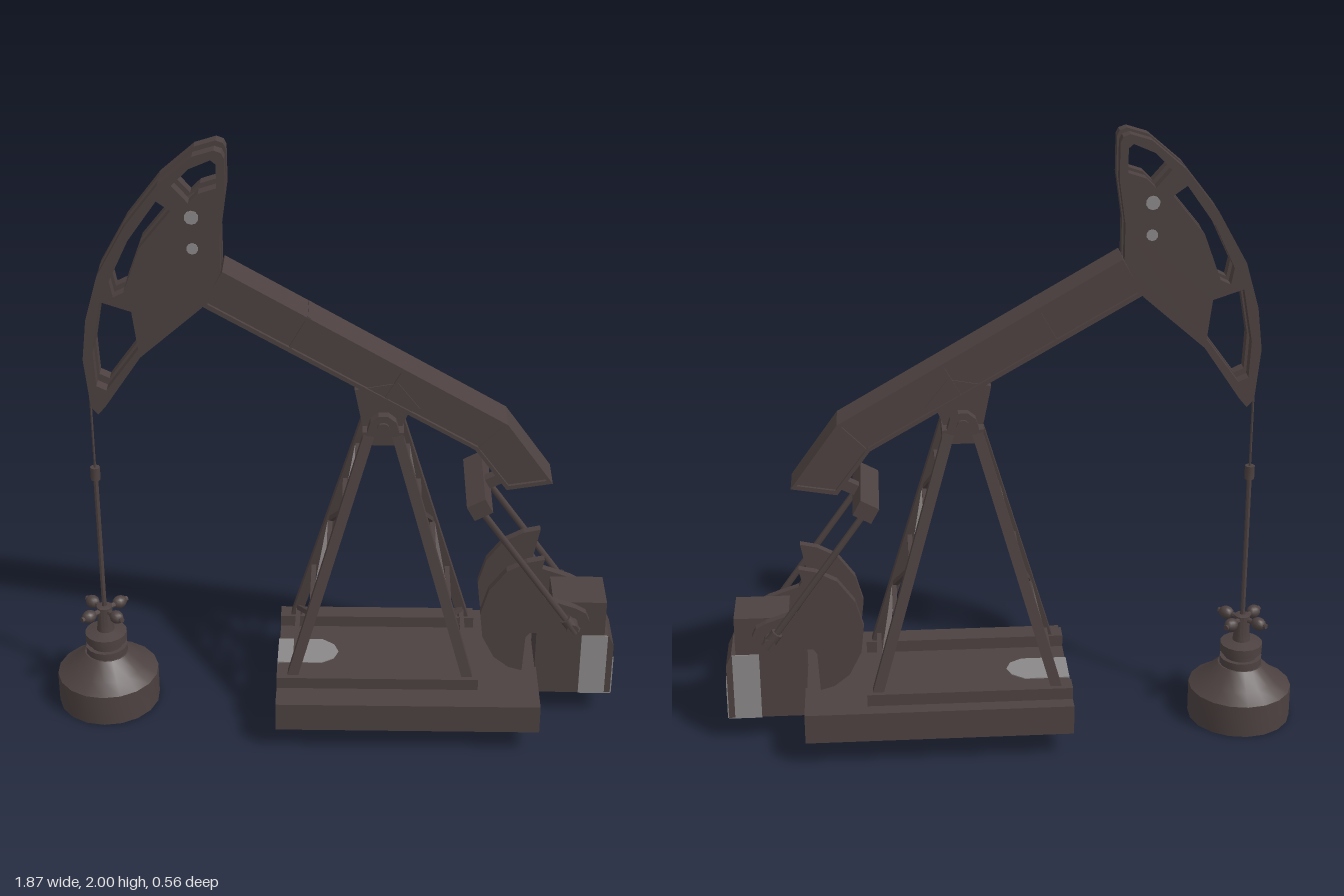
import * as THREE from 'three';
import { toCreasedNormals } from 'three/addons/utils/BufferGeometryUtils.js';

const iron = new THREE.MeshStandardMaterial({ color: 0x4c4140, side: THREE.DoubleSide });
iron.name = 'dark iron';
const grey = new THREE.MeshStandardMaterial({ color: 0x8a8888, side: THREE.DoubleSide });
grey.name = 'worn grey';

const V = (x, y, z) => new THREE.Vector3(x, y, z);
const poly = (pts) => pts.map(([x, y]) => new THREE.Vector2(x, y));

function add(parent, name, geometry, material = iron) {
  const mesh = new THREE.Mesh(geometry, material);
  mesh.name = name;
  parent.add(mesh);
  return mesh;
}

// Box from its minimum and maximum corners
function box(parent, name, a, b, material) {
  const mesh = add(parent, name, new THREE.BoxGeometry(b[0] - a[0], b[1] - a[1], b[2] - a[2]), material);
  mesh.position.set((a[0] + b[0]) / 2, (a[1] + b[1]) / 2, (a[2] + b[2]) / 2);
  return mesh;
}

// Side profile extruded from z0 to z1
function plate(parent, name, pts, z0, z1, holes = [], material) {
  const shape = new THREE.Shape(poly(pts));
  holes.forEach((h) => shape.holes.push(new THREE.Path(poly(h))));
  const geo = new THREE.ExtrudeGeometry(shape, { depth: z1 - z0, bevelEnabled: false });
  geo.translate(0, 0, z0);
  return add(parent, name, geo, material);
}

// Round rod, or square bar with sides = 4, between two points
function bar(parent, name, a, b, r, sides = 10) {
  const geo = new THREE.CylinderGeometry(r, r, a.distanceTo(b), sides);
  if (sides === 4) geo.rotateY(Math.PI / 4);
  const mesh = add(parent, name, toCreasedNormals(geo, 0.8));
  mesh.position.copy(a).add(b).multiplyScalar(0.5);
  mesh.quaternion.setFromUnitVectors(V(0, 1, 0), b.clone().sub(a).normalize());
  return mesh;
}

function lathe(parent, name, pts, sides) {
  return add(parent, name, toCreasedNormals(new THREE.LatheGeometry(poly(pts), sides), 0.6));
}

function buildBase(root) {
  // Hollow skid, open below
  box(root, 'baseDeck', [-0.185, 0.165, -0.28], [0.675, 0.19, 0.28]);
  for (const s of [-1, 1]) {
    box(root, 'baseSideWall', [-0.185, 0.09, s * 0.265 - 0.015], [0.675, 0.165, s * 0.265 + 0.015]);
  }
  box(root, 'baseEndWall', [-0.185, 0.09, -0.25], [-0.155, 0.165, 0.25]);
  box(root, 'baseEndWall', [0.645, 0.09, -0.25], [0.675, 0.165, 0.25]);
  box(root, 'underRail', [-0.1, 0.145, -0.04], [0.6, 0.165, -0.01]);
  // Worn patch at the end of the skid
  const patch = [[-0.185, -0.09], [-0.04, -0.09], [0, -0.06], [0.015, -0.02], [0, 0.02], [-0.04, 0.045], [-0.185, 0.045]];
  for (const y of [0.193, 0.165]) {
    const m = plate(root, 'deckPatch', patch, 0, 0.004, [], grey);
    m.rotation.x = Math.PI / 2;
    m.position.y = y;
  }
  box(root, 'endPatch', [-0.188, 0.09, -0.09], [-0.184, 0.193, 0.045], grey);
}

function buildTower(body) {
  const foot = 0.18, head = 0.075, y0 = 0.2, y1 = 1.07;
  for (const [xa, xb] of [[-0.14, 0.11], [0.447, 0.2]]) {
    const at = (t, s) => V(xa + (xb - xa) * t, y0 + (y1 - y0) * t, s * (foot + (head - foot) * t));
    for (const s of [-1, 1]) bar(body, 'towerLeg', at(0, s), at(1, s), 0.024, 4);
    // Zigzag bracing between the two legs of each end
    const levels = [0.06, 0.28, 0.5, 0.7, 0.86];
    levels.forEach((t, i) => {
      bar(body, 'towerRung', at(t, -1), at(t, 1), 0.011, 4);
      if (i) {
        const s = i % 2 ? 1 : -1;
        bar(body, 'towerBrace', at(levels[i - 1], -s), at(t, s), 0.011, 4);
      }
    });
  }
  for (const s of [-1, 1]) {
    box(body, 'footRail', [-0.185, 0.19, s * 0.18 - 0.03], [0.475, 0.23, s * 0.18 + 0.03]);
    // Saddle bearings
    const cap = [[0.09, 1.085], [0.105, 1.085], [0.115, 1.12], [0.14, 1.14], [0.17, 1.14], [0.195, 1.12], [0.205, 1.085], [0.22, 1.085], [0.22, 1.04], [0.09, 1.04]];
    plate(body, 'saddleBearing', cap, s * 0.075 - 0.016, s * 0.075 + 0.016);
  }
  box(body, 'towerCap', [0.09, 1.04, -0.09], [0.22, 1.085, 0.09]);
  bar(body, 'saddleShaft', V(0.155, 1.1, -0.1), V(0.155, 1.1, 0.1), 0.02, 12);
  plate(body, 'saddleBlock', [[0.065, 1.215], [0.09, 1.09], [0.215, 1.09], [0.235, 1.14], [0.27, 1.15], [0.2, 1.24]], -0.056, 0.056);
}

function buildBeam(body) {
  const outer = [[-0.335, 1.615], [-0.4, 1.5], [0.445, 1.01], [0.55, 0.865], [0.695, 0.89], [0.545, 1.1]];
  const inner = [[-0.335, 1.598], [-0.383, 1.507], [0.452, 1.02], [0.555, 0.88], [0.675, 0.9], [0.538, 1.088]];
  plate(body, 'beamFlanges', outer, -0.0625, 0.0625, [inner]);
  plate(body, 'beamWeb', inner, -0.052, 0.052);
  for (const [x, y, len, a] of [[-0.105, 1.41, 0.125, -0.52], [0.19, 1.235, 0.125, -0.52], [0.495, 1.05, 0.11, -0.78]]) {
    const rib = add(body, 'beamRib', new THREE.BoxGeometry(0.01, len, 0.12));
    rib.position.set(x, y, 0);
    rib.rotation.z = a;
  }
}

function buildHead(body) {
  const outline = [[-0.35, 2], [-0.328, 1.992], [-0.32, 1.975], [-0.32, 1.86], [-0.34, 1.725], [-0.34, 1.61], [-0.4, 1.495], [-0.595, 1.325],
    [-0.71, 1.155], [-0.735, 1.125], [-0.757, 1.15], [-0.773, 1.315], [-0.757, 1.45], [-0.715, 1.595], [-0.625, 1.755], [-0.52, 1.89], [-0.415, 1.98]];
  const windows = [
    [[-0.36, 1.97], [-0.345, 1.957], [-0.345, 1.883], [-0.4, 1.865], [-0.43, 1.835], [-0.478, 1.89], [-0.425, 1.942]],
    [[-0.525, 1.84], [-0.483, 1.81], [-0.583, 1.687], [-0.636, 1.544], [-0.668, 1.528], [-0.678, 1.58], [-0.615, 1.713]],
    [[-0.71, 1.512], [-0.615, 1.48], [-0.6, 1.353], [-0.705, 1.21], [-0.736, 1.225], [-0.741, 1.342]],
  ];
  // Two cheek plates with a recessed web between them
  for (const s of [-1, 1]) {
    plate(body, 'headCheek', outline, s * 0.042 - 0.0205, s * 0.042 + 0.0205, windows);
    for (const [y, r] of [[1.79, 0.022], [1.69, 0.018]]) {
      const spot = add(body, 'headSpot', new THREE.CylinderGeometry(r, r, 0.004, 10), grey);
      spot.rotation.x = Math.PI / 2;
      spot.position.set(-0.422, y, s * 0.063);
    }
  }
  plate(body, 'headWeb', [[-0.37, 1.85], [-0.37, 1.61], [-0.41, 1.52], [-0.58, 1.37], [-0.6, 1.49], [-0.63, 1.56], [-0.575, 1.685], [-0.475, 1.8], [-0.42, 1.835]], -0.022, 0.022);
  box(body, 'cableAnchor', [-0.755, 1.14, -0.03], [-0.725, 1.18, 0.03]);
}

function buildDrive(body) {
  // Gear housing with the painted motor cover at its end
  plate(body, 'gearHousing', [[0.67, 0.09], [0.82, 0.09], [0.82, 0.32], [0.895, 0.32], [0.895, 0.45], [0.72, 0.45], [0.72, 0.36], [0.67, 0.33]], -0.078, 0.078);
  plate(body, 'motorCover', [[0.82, 0.09], [0.928, 0.09], [0.928, 0.28], [0.91, 0.32], [0.82, 0.32]], -0.078, 0.078);
  for (const s of [-1, 1]) {
    box(body, 'coverSidePanel', [0.82, 0.09, s * 0.079 - 0.002], [0.907, 0.32, s * 0.079 + 0.002], grey);
  }
  box(body, 'coverEndPanel', [0.927, 0.09, -0.078], [0.931, 0.23, 0.078], grey);
  box(body, 'coverBottomPanel', [0.82, 0.087, -0.078], [0.928, 0.091, 0.078], grey);

  // Fan-shaped counterweights on the cranks, with the connecting rods outside
  const fan = [[0.68, 0.632], [0.625, 0.62], [0.56, 0.585], [0.505, 0.51], [0.48, 0.42], [0.49, 0.33], [0.53, 0.25], [0.58, 0.21], [0.625, 0.197],
    [0.632, 0.33], [0.645, 0.347], [0.7, 0.347], [0.71, 0.335], [0.79, 0.345], [0.825, 0.36], [0.838, 0.395], [0.825, 0.425], [0.79, 0.445], [0.69, 0.48], [0.66, 0.53]];
  for (const s of [-1, 1]) {
    plate(body, 'counterweight', fan, s * 0.092 - 0.014, s * 0.092 + 0.014);
    bar(body, 'crankPin', V(0.78, 0.39, s * 0.08), V(0.78, 0.39, s * 0.152), 0.02, 10);
    bar(body, 'connectingRod', V(0.475, 0.82, s * 0.135), V(0.78, 0.39, s * 0.135), 0.011, 8);
    bar(body, 'rodEnd', V(0.755, 0.425, s * 0.135), V(0.79, 0.376, s * 0.135), 0.02, 8);
  }
  const cross = add(body, 'equalizerBar', new THREE.BoxGeometry(0.065, 0.055, 0.31));
  cross.position.set(0.462, 0.845, 0);
  cross.rotation.z = 0.5;
  bar(body, 'equalizerLink', V(0.462, 0.845, 0), V(0.56, 0.895, 0), 0.025, 4);
}

function buildWell(body) {
  const well = new THREE.Group();
  well.name = 'wellhead';
  well.position.x = -0.767;
  body.add(well);
  // Hollow bell, flanges and neck
  lathe(well, 'wellBell', [[0.17, 0], [0.17, 0.11], [0.125, 0.14], [0.075, 0.19], [0, 0.19]], 18);
  lathe(well, 'wellFlanges', [[0.07, 0.185], [0.07, 0.215], [0.055, 0.215], [0.055, 0.235], [0.07, 0.235], [0.07, 0.265], [0.03, 0.275], [0.026, 0.3], [0.026, 0.365], [0.01, 0.37]], 16);
  // Four valve arms
  for (let i = 0; i < 4; i++) {
    const a = Math.PI / 4 + i * Math.PI / 2, c = Math.cos(a), s = Math.sin(a);
    bar(well, 'valveArm', V(0, 0.352, 0), V(c * 0.095, 0.352, s * 0.095), 0.009, 8);
    const knob = add(well, 'valveKnob', new THREE.SphereGeometry(0.022, 10, 8));
    knob.scale.x = 1.2;
    knob.rotation.y = -a;
    knob.position.set(c * 0.064, 0.352, s * 0.064);
  }
  bar(well, 'polishedRod', V(0, 0.36, 0), V(0, 0.87, 0), 0.008, 8);
  bar(well, 'cable', V(0, 0.87, 0), V(0, 1.17, 0), 0.004, 6);
  bar(well, 'rodClamp', V(0, 0.855, 0), V(0, 0.9, 0), 0.016, 8);
}

export function createModel() {
  const root = new THREE.Group();
  root.name = 'oilPump';
  buildBase(root);
  const body = new THREE.Group();
  body.name = 'pumpBody';
  body.position.z = -0.022;
  root.add(body);
  [buildTower, buildBeam, buildHead, buildDrive, buildWell].forEach((build) => build(body));
  return root;
}
